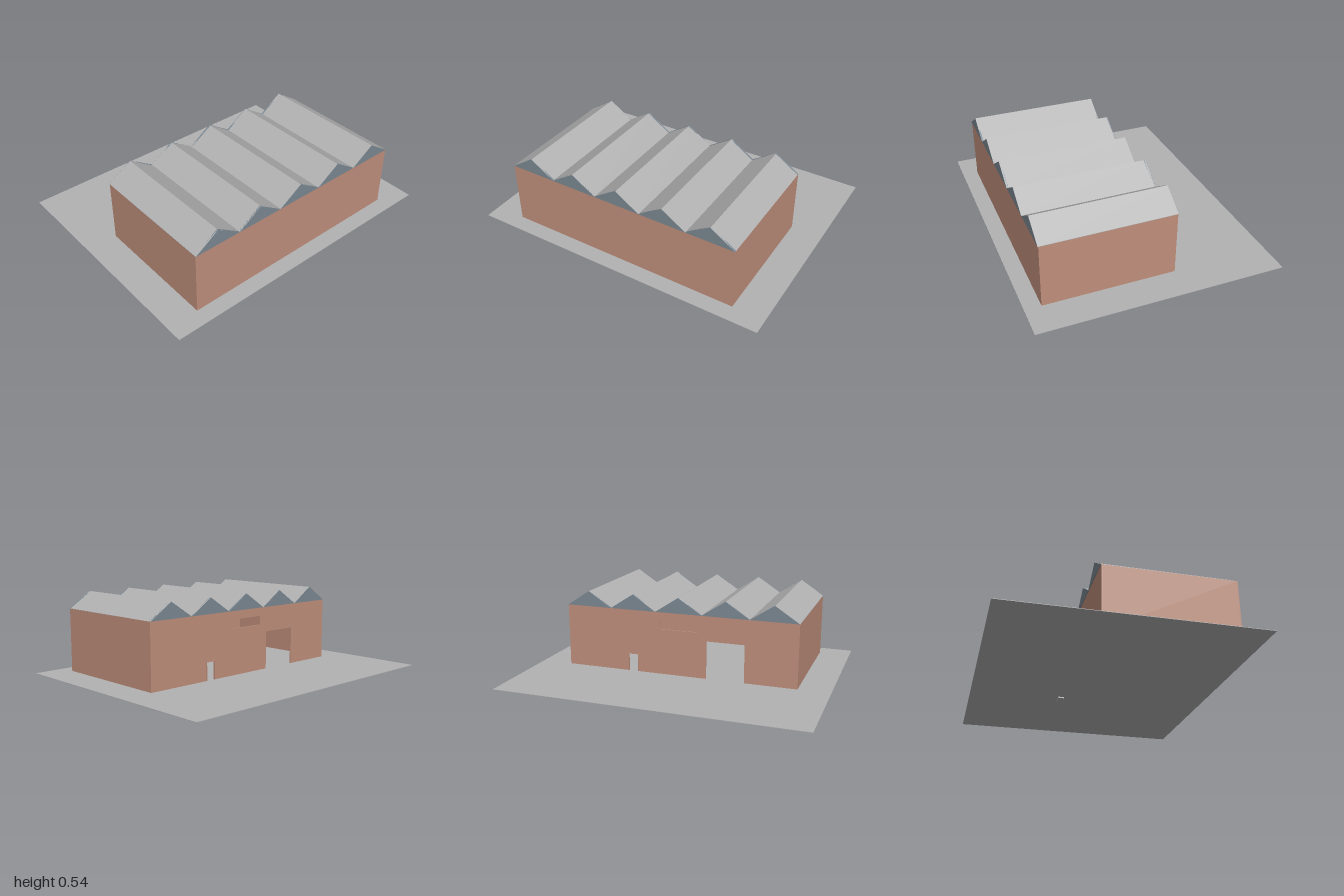
import * as THREE from 'three';

const W = 0.79, BACK = -0.16, FRONT = 0.685;   // building footprint
const GROUND = 0.012, EAVES = 0.432, RIDGE = 0.535;
const BAYS = 5, T = 0.008;                     // roof bays, wall thickness

export function createModel() {
  const material = (name, color) => {
    const m = new THREE.MeshStandardMaterial({ color });
    m.name = name;
    return m;
  };
  const grey = material('concrete grey', 0xb2b2b2);
  const brick = material('brick', 0xc08f7c);
  const slate = material('slate blue', 0x7b8892);

  const group = new THREE.Group();
  const add = (name, geometry, mat) => {
    const mesh = new THREE.Mesh(geometry, mat);
    mesh.name = name;
    group.add(mesh);
    return mesh;
  };
  // box given by its limits on each axis
  const box = (name, mat, x0, x1, y0, y1, z0, z1) =>
    add(name, new THREE.BoxGeometry(x1 - x0, y1 - y0, z1 - z0), mat)
      .position.set((x0 + x1) / 2, (y0 + y1) / 2, (z0 + z1) / 2);
  const outline = (points) => new THREE.Shape(points.map(([x, y]) => new THREE.Vector2(x, y)));
  // flat outline in x and y, given thickness from z0 to z1
  const slab = (name, mat, shape, z0, z1) =>
    add(name, new THREE.ExtrudeGeometry(shape, { depth: z1 - z0, bevelEnabled: false }), mat)
      .position.z = z0;

  // yard and the sunken door step
  box('yard', grey, -1, 1, GROUND - 0.003, GROUND, -0.79, 0.79);
  box('doorStep', grey, 0.27, 0.36, 0, GROUND - 0.001, -0.198, BACK);

  // plain walls
  box('frontWall', brick, -W, W, GROUND, EAVES, FRONT - T, FRONT);
  for (const [name, s] of [['leftWall', 1], ['rightWall', -1]]) {
    const a = s * W, b = s * (W - T);
    box(name, brick, Math.min(a, b), Math.max(a, b), GROUND, EAVES, BACK + T, FRONT - T);
  }

  // back wall with a loading gate, a small door and a strip window cut out
  const gate = [-0.445, -0.19, 0.265], door = [0.285, 0.35, 0.13];
  const points = [[-W, GROUND]];
  for (const [x0, x1, top] of [gate, door]) {
    points.push([x0, GROUND], [x0, top], [x1, top], [x1, GROUND]);
  }
  points.push([W, GROUND], [W, EAVES], [-W, EAVES]);
  const backShape = outline(points);
  backShape.holes.push(outline([[-0.132, 0.318], [-0.132, 0.376], [0.134, 0.376], [0.134, 0.318]]));
  slab('backWall', brick, backShape, BACK, BACK + T);

  // slim frame round the small door
  const [d0, d1, dTop] = door, f = 0.004;
  slab('doorFrame', brick, outline([
    [d0 - f, GROUND], [d0, GROUND], [d0, dTop], [d1, dTop], [d1, GROUND],
    [d1 + f, GROUND], [d1 + f, dTop + f], [d0 - f, dTop + f],
  ]), BACK - 0.004, BACK);

  // ridged roof: a folded sheet over all bays
  const bay = 2 * W / BAYS, top = [], under = [];
  for (let i = 0; i <= BAYS * 2; i++) {
    const x = -W + i * bay / 2, y = i % 2 ? RIDGE : EAVES;
    top.push([x, y]);
    under.unshift([x, y - 0.003]);
  }
  slab('roof', grey, outline([...under, ...top].reverse()), BACK - 0.003, FRONT + 0.003);

  // gable triangles at both ends of each bay
  for (let i = 0; i < BAYS; i++) {
    const x = -W + i * bay;
    const triangle = outline([[x, EAVES], [x + bay, EAVES], [x + bay / 2, RIDGE]]);
    slab('frontGable', slate, triangle, FRONT - T, FRONT + 0.004);
    slab('backGable', slate, triangle, BACK - 0.004, BACK + T);
  }
  return group;
}
